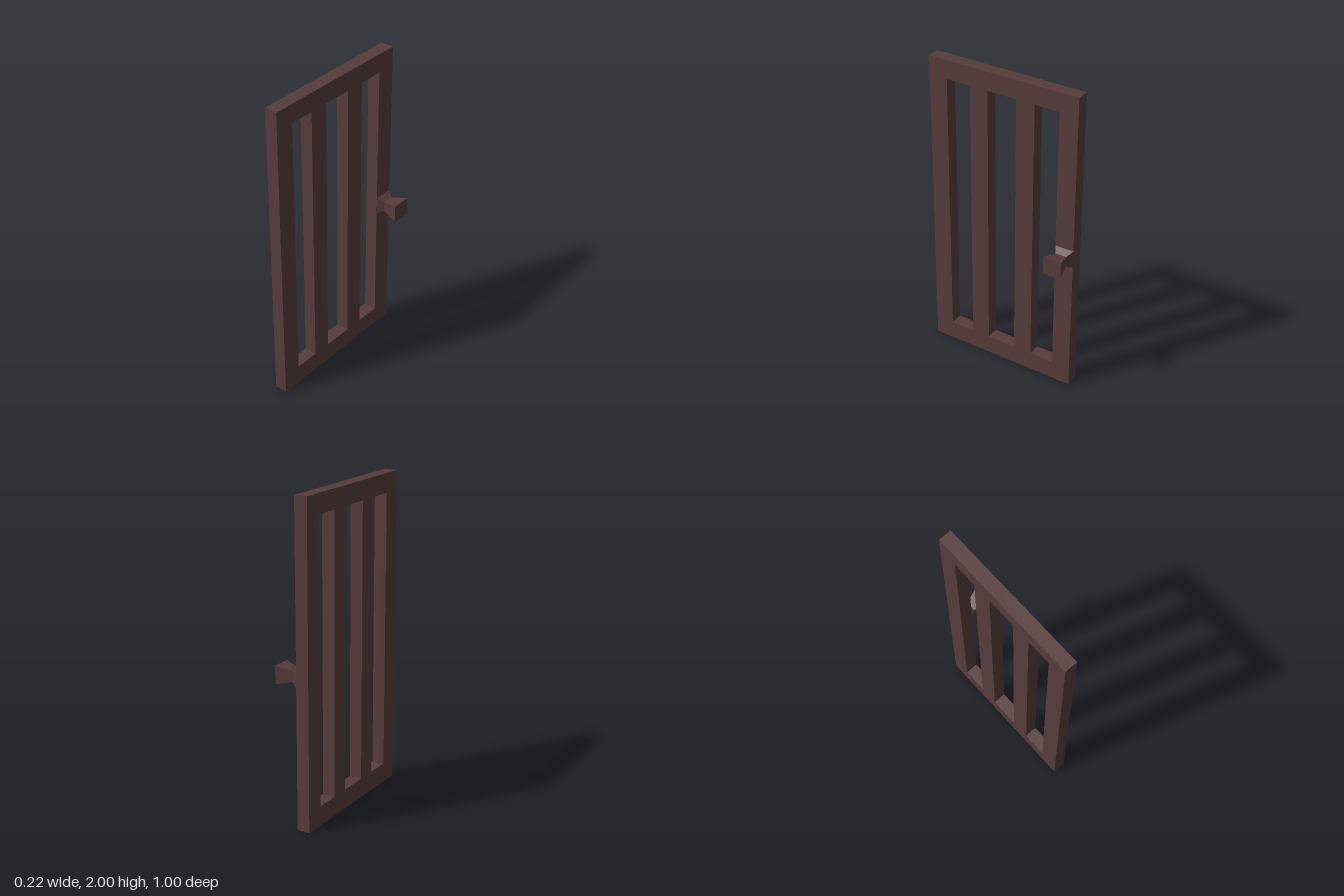
import * as THREE from 'three';

const darkWood = new THREE.MeshStandardMaterial({ color: 0x583c3c });
darkWood.name = 'darkWood';

// Traces a rectangle on a shape or path
function rect(path, u0, v0, u1, v1) {
  path.moveTo(u0, v0);
  path.lineTo(u1, v0);
  path.lineTo(u1, v1);
  path.lineTo(u0, v1);
  path.closePath();
  return path;
}

// Square frustum along +x, from x0 (side s0) to x1 (side s1)
function frustum(name, x0, s0, x1, s1) {
  const geo = new THREE.CylinderGeometry(s1 * Math.SQRT1_2, s0 * Math.SQRT1_2, x1 - x0, 4)
    .rotateY(Math.PI / 4)
    .rotateZ(-Math.PI / 2)
    .translate((x0 + x1) / 2, 0, 0)
    .toNonIndexed();
  geo.computeVertexNormals();
  const mesh = new THREE.Mesh(geo, darkWood);
  mesh.name = name;
  return mesh;
}

export function createModel() {
  const model = new THREE.Group();
  model.name = 'barredDoor';

  // Door panel with three tall openings between the bars
  const outline = rect(new THREE.Shape(), -0.5, 0, 0.5, 2);
  for (const [a, b] of [[-0.378, -0.218], [-0.096, 0.096], [0.218, 0.378]]) {
    outline.holes.push(rect(new THREE.Path(), a, 0.124, b, 1.88));
  }
  const panelGeo = new THREE.ExtrudeGeometry(outline, { depth: 0.082, bevelEnabled: false });
  panelGeo.rotateY(Math.PI / 2).translate(-0.113, 0, 0);
  const panel = new THREE.Mesh(panelGeo, darkWood);
  panel.name = 'doorPanel';
  model.add(panel);

  // Knob: tapers to a neck, then flares out
  const knob = new THREE.Group();
  knob.name = 'knob';
  knob.add(frustum('knobBase', -0.031, 0.12, 0.01, 0.07));
  knob.add(frustum('knobGrip', 0.01, 0.07, 0.112, 0.12));
  knob.position.set(0, 0.943, -0.44);
  knob.scale.y = 0.95;
  model.add(knob);

  return model;
}
